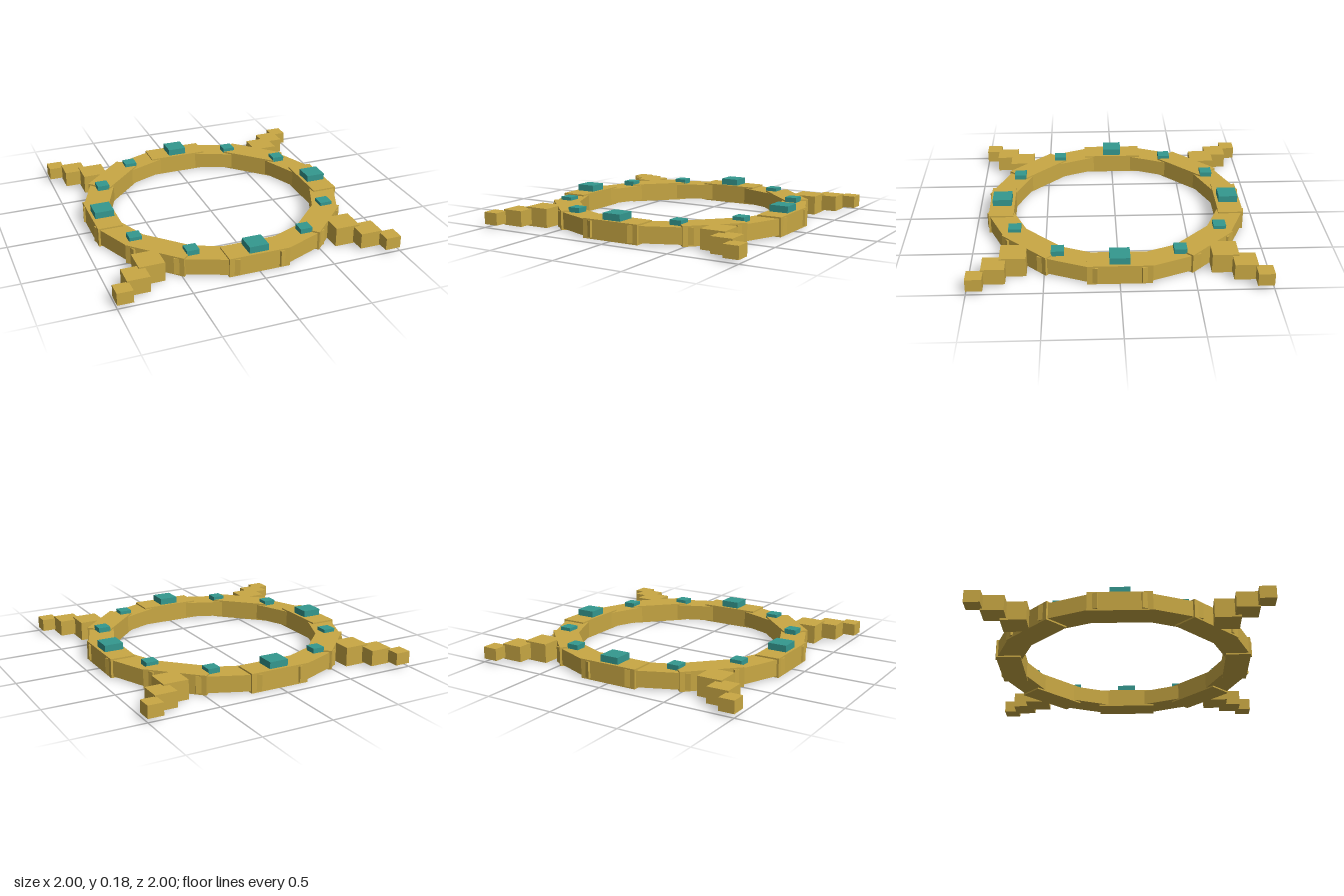
import * as THREE from 'three';

export function createModel() {
  const group = new THREE.Group();
  const gold = new THREE.MeshStandardMaterial({ color: 0xc9a844 });
  gold.name = 'gold';
  const teal = new THREE.MeshStandardMaterial({ color: 0x34988f });
  teal.name = 'teal';

  // Box spanning y0..y1, centred on (x, z) and turned about y
  function block(name, material, w, d, y0, y1, x, z, turn = 0) {
    const mesh = new THREE.Mesh(new THREE.BoxGeometry(w, y1 - y0, d), material);
    mesh.name = name;
    mesh.position.set(x, (y0 + y1) / 2, z);
    mesh.rotation.y = turn;
    group.add(mesh);
  }

  const R = 0.818;

  // Ring of sixteen overlapping blocks, alternately thick and thin
  for (let i = 0; i < 16; i++) {
    const a = (i * Math.PI) / 8;
    const [y0, y1] = i % 2 ? [0.011, 0.125] : [0, 0.136];
    block('ringSegment', gold, 0.432, 0.177, y0, y1, R * Math.sin(a), R * Math.cos(a), a);
  }

  // Twelve square gems, the four on the axes larger
  for (let i = 0; i < 12; i++) {
    const a = (i * Math.PI) / 6;
    const large = i % 3 === 0;
    const size = large ? 0.136 : 0.087;
    block(large ? 'largeGem' : 'smallGem', teal, size, size, 0.11, large ? 0.183 : 0.16,
      R * Math.sin(a), R * Math.cos(a));
  }

  // Stepped spikes on the four diagonals: size, bottom, top, offset
  const steps = [
    [0.177, 0, 0.136, 0.705],
    [0.155, 0.014, 0.125, 0.828],
    [0.11, 0.025, 0.112, 0.945],
  ];
  for (const sx of [-1, 1]) for (const sz of [-1, 1]) {
    for (const [size, y0, y1, p] of steps) {
      block('cornerSpike', gold, size, size, y0, y1, sx * p, sz * p);
    }
  }
  return group;
}
